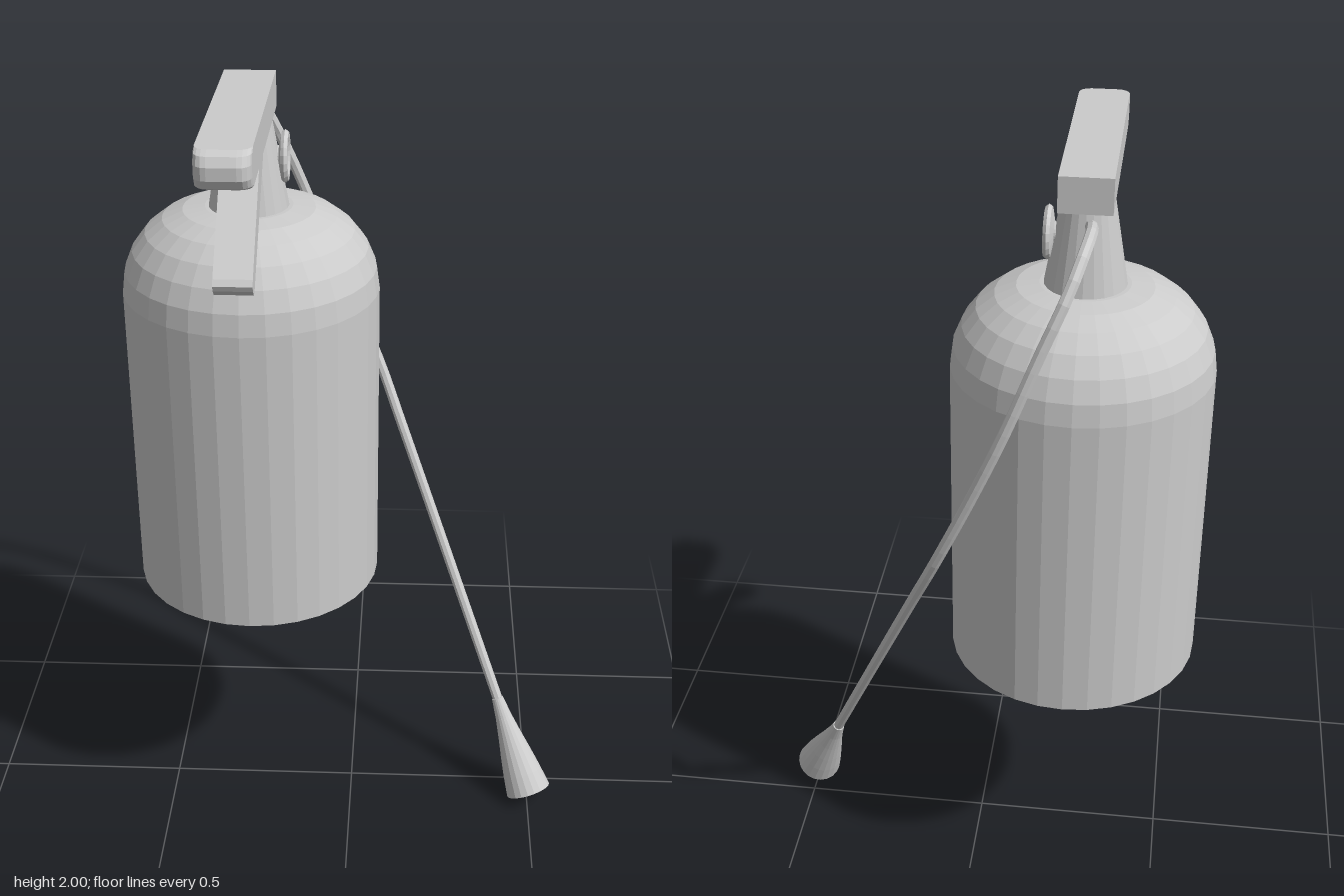
import * as THREE from 'three';

const V2 = (x, y) => new THREE.Vector2(x, y);
const V3 = (x, y, z) => new THREE.Vector3(x, y, z);

export function createModel() {
  const model = new THREE.Group();
  const flat = new THREE.MeshStandardMaterial({ color: 0xcccccc, flatShading: true });
  const AX = -0.25, AZ = -0.057; // axis of the tank

  const add = (name, geometry, x = 0, y = 0, z = 0) => {
    const mesh = new THREE.Mesh(geometry, flat);
    mesh.name = name;
    mesh.position.set(x, y, z);
    model.add(mesh);
    return mesh;
  };
  const lathe = (pts, sides) => new THREE.LatheGeometry(pts.map(p => V2(...p)), sides);

  // Tank: recessed base, straight wall and rounded shoulder
  const R = 0.317, bend = 0.21;
  const tank = [[0, 0.77], [0.27, 0.77], [0.285, 0.74], [0.285, 0.69], [R, 0.69]];
  for (let i = 0; i <= 6; i++) {
    const a = (i / 6) * Math.PI / 2;
    tank.push([R - bend + bend * Math.cos(a), 1.495 + bend * Math.sin(a)]);
  }
  tank.push([0, 1.705]);
  add('tank', lathe(tank, 32), AX, 0, AZ);

  // Tapered neck reaching up into the handle
  add('neck', lathe([[0.1, 1.69], [0.06, 1.92], [0.045, 1.97], [0, 1.97]], 24), AX, 0, AZ);

  // Handle: hollow channel, open below, rounded at the front
  add('handle', channelGeometry(), AX, 0, 0);

  // Squeeze lever sloping down and forward
  const s = new THREE.Shape([
    V2(-0.01, 1.975), V2(0.06, 1.917), V2(0.335, 1.672), V2(0.345, 1.658),
    V2(0.34, 1.645), V2(0.322, 1.629), V2(0.306, 1.632), V2(0.025, 1.855), V2(-0.03, 1.9),
  ].reverse());
  const leverGeo = new THREE.ExtrudeGeometry(s, { depth: 0.09, bevelEnabled: false });
  leverGeo.translate(0, 0, -0.045).rotateY(-Math.PI / 2);
  add('lever', leverGeo, AX, 0, 0);

  // Pressure gauge on the left side of the neck
  const gauge = add('gauge', lathe([
    [0.025, -0.03], [0.025, 0.005], [0.058, 0.012], [0.063, 0.02], [0.057, 0.028],
    [0.045, 0.028], [0.027, 0.018], [0.024, 0.023], [0, 0.023],
  ], 20), -0.18, 1.825, -0.06);
  gauge.rotation.z = -Math.PI / 2;

  // Hose looping behind the tank
  const hoseEnd = V3(0.41, 0.27, -0.02), hornEnd = V3(0.503, 0.032, 0.088);
  const hosePath = new THREE.CatmullRomCurve3([
    V3(-0.258, 1.86, -0.1), V3(-0.268, 1.895, -0.19), V3(-0.27, 1.908, -0.26), V3(-0.262, 1.898, -0.34),
    V3(-0.235, 1.83, -0.41), V3(-0.18, 1.7, -0.445), V3(-0.11, 1.52, -0.462), V3(-0.03, 1.33, -0.45),
    V3(0.062, 1.12, -0.412), V3(0.12, 0.98, -0.347), V3(0.24, 0.687, -0.212), hoseEnd,
  ]);
  add('hose', new THREE.TubeGeometry(hosePath, 40, 0.014, 8));

  // Flared horn at the end of the hose
  const axis = hornEnd.clone().sub(hoseEnd);
  const len = axis.length();
  const horn = add('horn', lathe([
    [0.062, 0], [0.054, 0.2], [0.044, 0.4], [0.033, 0.6], [0.023, 0.8], [0.016, 1], [0, 1.02],
  ].map(([r, t]) => [r, t * len]), 20), ...hornEnd.toArray());
  horn.quaternion.setFromUnitVectors(V3(0, 1, 0), axis.clone().negate().normalize());
  const mouth = new THREE.Mesh(new THREE.CircleGeometry(0.062, 20), flat);
  mouth.name = 'hornMouth';
  mouth.rotation.x = Math.PI / 2;
  horn.add(mouth);

  return model;
}

// Stacked outlines running from the inner ceiling, round the rim, to the top face
function channelGeometry() {
  const layers = [ // height, wall inset, extra inset at the front, scale
    [1.98, 0.014, 0.03, 0], [1.98, 0.014, 0.02, 1], [1.925, 0.014, 0.02, 1], [1.915, 0.012, 0.03, 1],
    [1.915, 0, 0.03, 1], [1.923, 0, 0.012, 1], [1.943, 0, 0, 1], [1.972, 0, 0, 1],
    [1.992, 0, 0.012, 1], [2.0, 0, 0.035, 1], [2.0, 0, 0.035, 0],
  ];
  const pos = [], index = [], N = 12, r = 0.03;
  for (const [y, inset, front, k] of layers) {
    const hx = 0.062 - inset, back = -0.17 + inset, zf = 0.468 - inset - front;
    const ring = [[hx, back]];
    for (let i = 0; i < 10; i++) {
      const a = ((i % 5) / 4 + (i < 5 ? 0 : 1)) * Math.PI / 2;
      ring.push([(i < 5 ? 1 : -1) * (hx - r) + r * Math.cos(a), zf - r + r * Math.sin(a)]);
    }
    ring.push([-hx, back]);
    for (const [x, z] of ring) pos.push(x * k, y, 0.15 + (z - 0.15) * k);
  }
  for (let i = 0; i < layers.length - 1; i++) {
    for (let j = 0; j < N; j++) {
      const a = i * N + j, b = i * N + (j + 1) % N;
      index.push(a, a + N, b, b, a + N, b + N);
    }
  }
  const geo = new THREE.BufferGeometry();
  geo.setAttribute('position', new THREE.Float32BufferAttribute(pos, 3));
  geo.setIndex(index);
  geo.computeVertexNormals();
  return geo;
}
